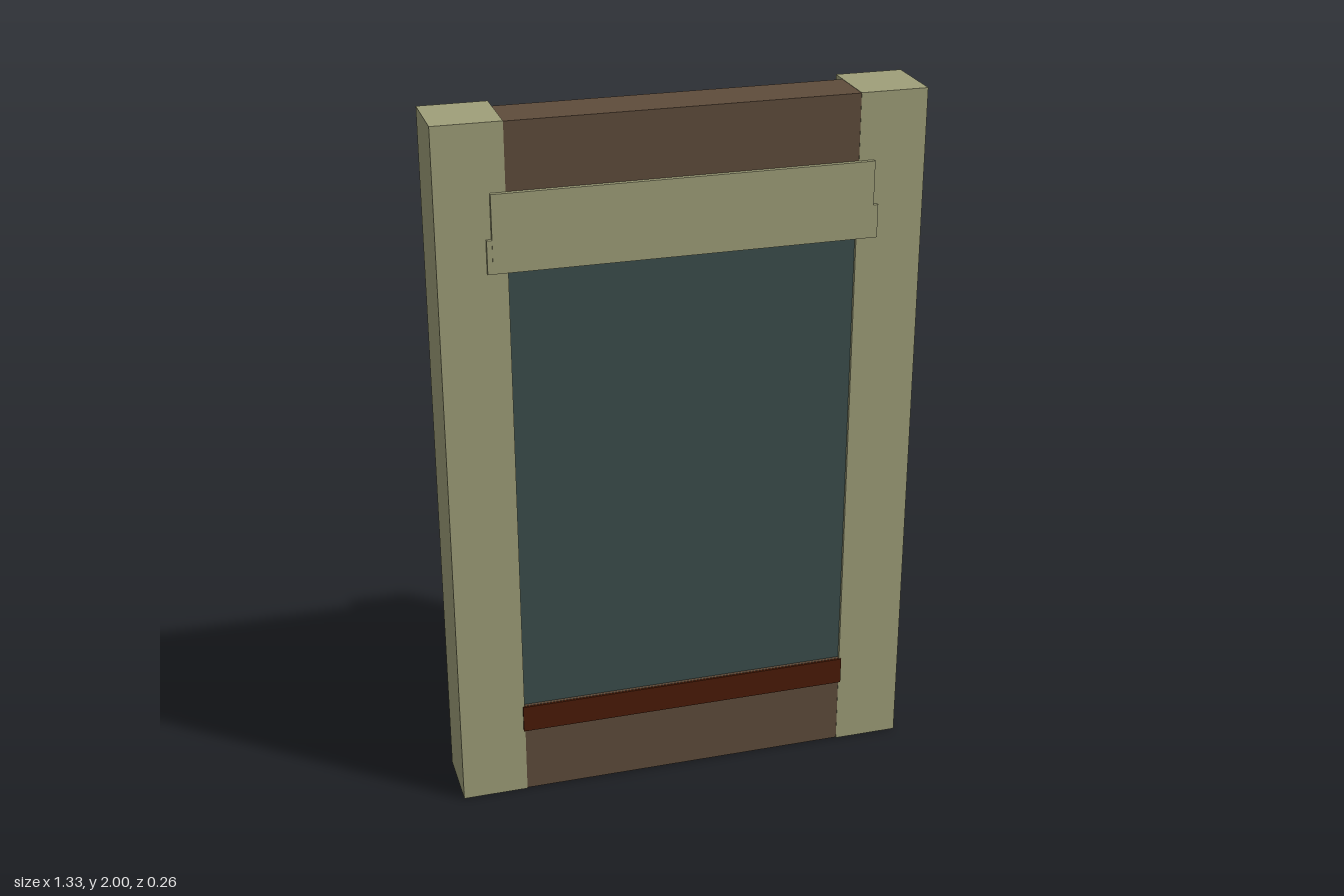
import * as THREE from 'three';

export function createModel() {
  const mat = (name, color) => {
    const m = new THREE.MeshStandardMaterial({ color });
    m.name = name;
    return m;
  };
  const olive = mat('olive wood', 0x9f9f79);
  const brown = mat('brown wall', 0x5f4c3b);
  const red = mat('red brown sill', 0x4b1b06);
  const teal = mat('teal glass', 0x3b4e4d);

  const model = new THREE.Group();
  model.name = 'window';

  // Box given by its limits on each axis
  const box = (name, material, [x0, x1], [y0, y1], [z0, z1]) => {
    const mesh = new THREE.Mesh(new THREE.BoxGeometry(x1 - x0, y1 - y0, z1 - z0), material);
    mesh.position.set((x0 + x1) / 2, (y0 + y1) / 2, (z0 + z1) / 2);
    mesh.name = name;
    model.add(mesh);
  };
  const wide = (w) => [-w, w];

  // Side posts, back casings and upright glazing bars, mirrored
  for (const s of [-1, 1]) {
    const side = s > 0 ? 'left' : 'right';
    const span = (a, b) => (s > 0 ? [a, b] : [-b, -a]);
    box(side + 'Post', olive, span(0.478, 0.665), [0, 2], [-0.075, 0.12]);
    box(side + 'Casing', olive, span(0.479, 0.525), [0.24, 1.69], [-0.077, 0]);
    box(side + 'GlazingBar', olive, span(0.141, 0.185), [0.318, 1.62], [0.008, 0.04]);
  }

  // Wall panels above and below the opening
  box('lowerWall', brown, wide(0.479), [0.002, 0.281], [-0.027, 0.119]);
  box('upperWall', brown, wide(0.479), [1.65, 1.999], [-0.027, 0.119]);

  // Front glass, and the smaller back pane that carries the bars
  box('frontGlass', teal, wide(0.479), [0.27, 1.64], [0.09, 0.11]);
  box('backGlass', teal, wide(0.46), [0.318, 1.64], [0.036, 0.091]);
  box('crossbar', olive, wide(0.46), [1.347, 1.388], [0.006, 0.04]);

  // Lintel: tall board with a wider lower lip
  box('lintel', olive, wide(0.52), [1.617, 1.815], [-0.132, 0.132]);
  box('lintelLip', olive, wide(0.534), [1.6, 1.692], [-0.077, 0.13]);

  // Sill and back ledge
  box('sill', red, wide(0.483), [0.2, 0.28], [-0.05, 0.125]);
  box('backLedge', olive, wide(0.5), [0.243, 0.283], [-0.079, -0.045]);

  return model;
}
